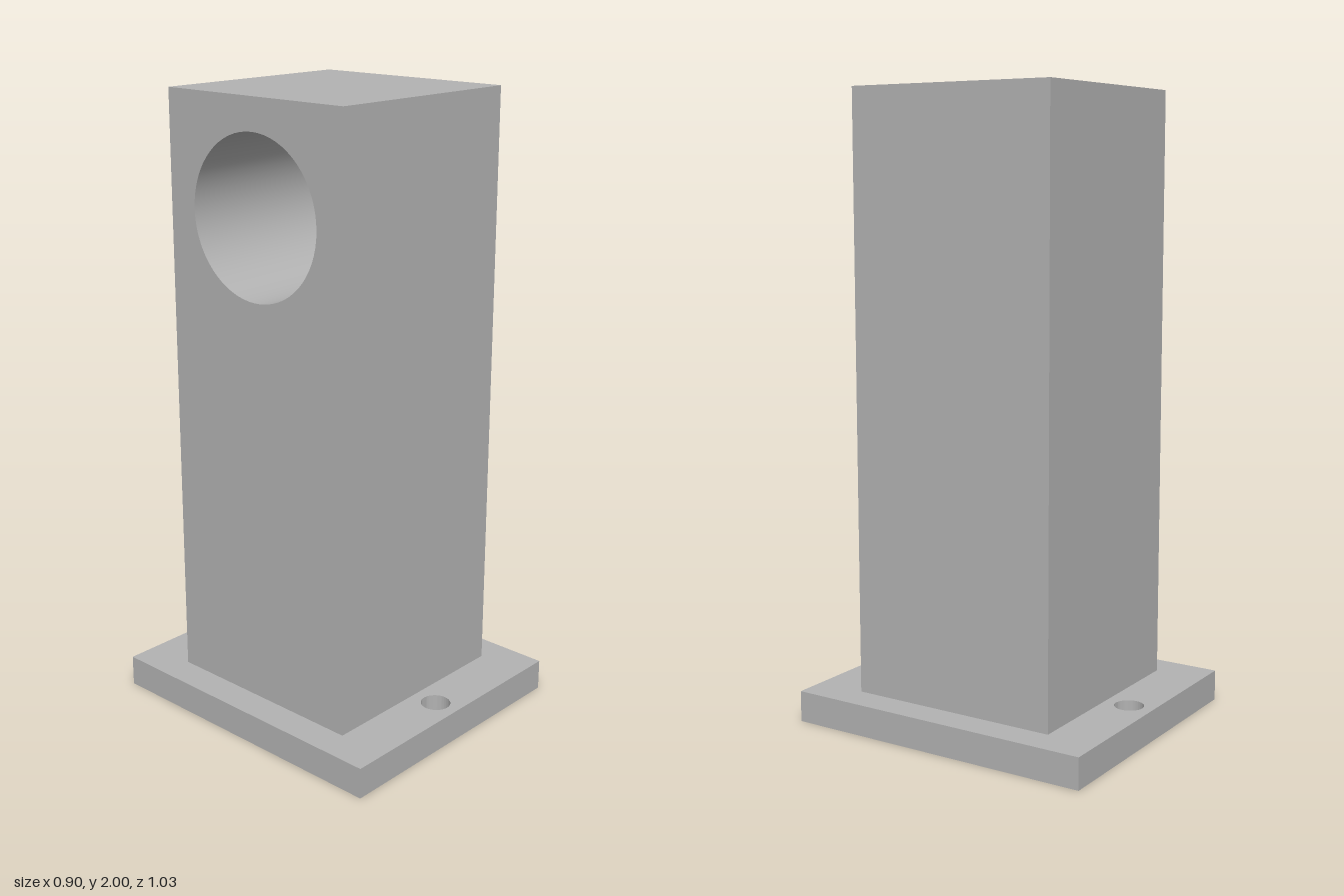
import * as THREE from 'three';
import { toCreasedNormals } from 'three/addons/utils/BufferGeometryUtils.js';

const WIDTH = 0.7, BASE_H = 0.1, POST_H = 1.9;
const BORE_R = 0.25, BORE_DEPTH = 0.6, BORE_Y = 1.65;

// Centred rectangle outline with round holes given as [x, y, radius]
function plate(w, h, holes) {
  const shape = new THREE.Shape();
  shape.moveTo(-w / 2, -h / 2).lineTo(w / 2, -h / 2).lineTo(w / 2, h / 2).lineTo(-w / 2, h / 2).closePath();
  for (const [x, y, r] of holes) {
    shape.holes.push(new THREE.Path().absarc(x, y, r, 0, Math.PI * 2, true));
  }
  return shape;
}

export function createModel() {
  const model = new THREE.Group();
  model.name = 'mountingPost';
  const grey = new THREE.MeshStandardMaterial({ color: 0xb2b2b2 });
  grey.name = 'grey';

  const add = (name, geometry, parent = model) => {
    const mesh = new THREE.Mesh(geometry, grey);
    mesh.name = name;
    parent.add(mesh);
    return mesh;
  };

  // Base plate with a screw hole at the front and the back
  const baseShape = plate(0.905, 1.03, [[0, 0.433, 0.047], [0, -0.433, 0.047]]);
  const base = new THREE.ExtrudeGeometry(baseShape, { depth: BASE_H, bevelEnabled: false, curveSegments: 32 });
  base.rotateX(-Math.PI / 2);
  add('basePlate', toCreasedNormals(base, 0.6));

  const post = new THREE.Group();
  post.name = 'post';
  model.add(post);
  const midY = BASE_H + POST_H / 2;

  // Post walls: a box without its -x side
  const walls = new THREE.BoxGeometry(WIDTH, POST_H, WIDTH);
  const index = Array.from(walls.index.array);
  index.splice(6, 6);
  walls.setIndex(index);
  walls.clearGroups();
  add('postWalls', walls, post).position.y = midY;

  // The -x side, pierced by the bore
  const face = new THREE.ShapeGeometry(plate(WIDTH, POST_H, [[0, BORE_Y - midY, BORE_R]]), 32);
  face.rotateY(-Math.PI / 2);
  add('boredFace', face, post).position.set(-WIDTH / 2, midY, 0);

  // Blind bore: inner wall and floor, facing inwards
  const profile = [[BORE_R, 0], [BORE_R, -BORE_DEPTH], [0, -BORE_DEPTH]].map(([x, y]) => new THREE.Vector2(x, y));
  const bore = new THREE.LatheGeometry(profile, 64);
  bore.rotateZ(Math.PI / 2);
  add('bore', toCreasedNormals(bore, 0.6), post).position.set(-WIDTH / 2, BORE_Y, 0);

  return model;
}
